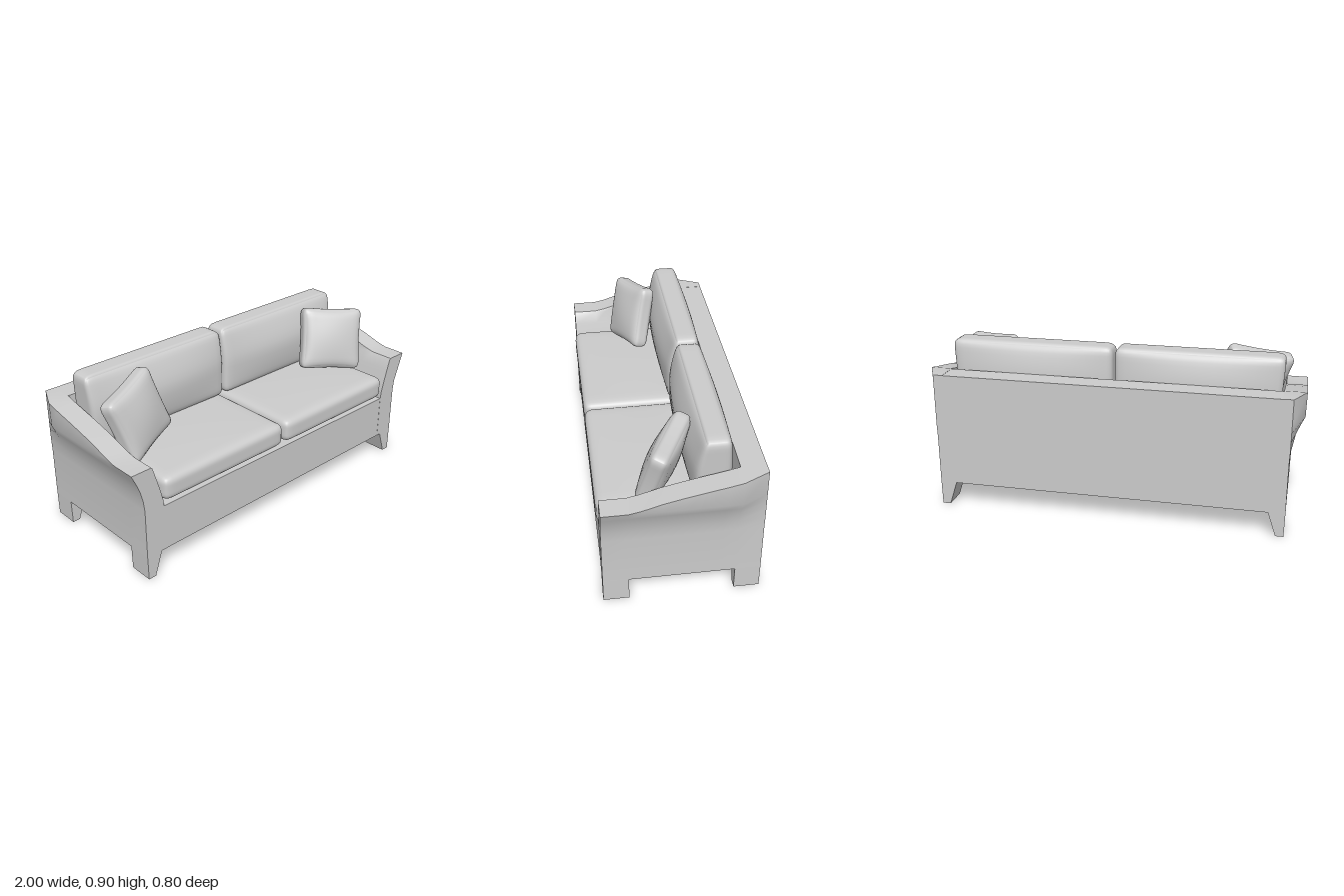
import * as THREE from 'three';
import { mergeVertices, toCreasedNormals } from 'three/addons/utils/BufferGeometryUtils.js';

const material = new THREE.MeshStandardMaterial({ color: 0xcccccc, roughness: 0.85 });

function mesh(name, geometry) {
  const m = new THREE.Mesh(geometry, material);
  m.name = name;
  return m;
}

function box(name, x0, x1, y0, y1, z0, z1) {
  const m = mesh(name, new THREE.BoxGeometry(x1 - x0, y1 - y0, z1 - z0));
  m.position.set((x0 + x1) / 2, (y0 + y1) / 2, (z0 + z1) / 2);
  return m;
}

// Shape from points, mirrored by the side sign
const sideShape = (points, side) => new THREE.Shape(points.map(([x, y]) => new THREE.Vector2(x * side, y)));

// Rounded block whose thickness axis swells to the middle; warp(p, a, b) adds a further rule
function cushion(size, radius, thick, edge, warp) {
  const axes = ['x', 'y', 'z'];
  let g = new THREE.BoxGeometry(2, 2, 2, 18, 18, 18);
  g.deleteAttribute('normal');
  g.deleteAttribute('uv');
  g = mergeVertices(g);
  const pos = g.attributes.position;
  const p = new THREE.Vector3(), inner = new THREE.Vector3(), unit = new THREE.Vector3();
  const [i, j] = axes.filter((a) => a !== thick);
  for (let n = 0; n < pos.count; n++) {
    p.fromBufferAttribute(pos, n);
    axes.forEach((a, k) => {
      const half = size[k] / 2;
      unit[a] = Math.sin(p[a] * Math.PI / 2);
      p[a] = unit[a] * half;
      inner[a] = THREE.MathUtils.clamp(p[a], radius - half, half - radius);
    });
    p.sub(inner).setLength(radius).add(inner);
    p[thick] *= edge + (1 - edge) * (1 - unit[i] ** 2) * (1 - unit[j] ** 2);
    if (warp) warp(p, unit);
    pos.setXYZ(n, p.x, p.y, p.z);
  }
  g.computeVertexNormals();
  return g;
}

// Arm stations from back to front: [z, top height]
const stations = [
  [-0.4, 0.745], [-0.27, 0.745], [-0.2, 0.729], [-0.1, 0.709], [0, 0.688],
  [0.1, 0.664], [0.2, 0.633], [0.26, 0.62], [0.39, 0.62],
];
const armSection = [
  [0.82, 0.13], [0.935, 0.13], [0.935, 0.4], [0.942, 0.46], [0.957, 0.52], [0.977, 0.57], [0.998, 0.615],
  [1, 0.745], [0.885, 0.745], [0.88, 0.615], [0.86, 0.55], [0.84, 0.48], [0.825, 0.42], [0.82, 0.38],
];

// Flared arm: its top follows the stations, its back corner is cut in
function arm(side) {
  const steps = stations.length - 1;
  const g = new THREE.ExtrudeGeometry(sideShape(armSection, side), { depth: 1, steps, bevelEnabled: false });
  const pos = g.attributes.position;
  for (let n = 0; n < pos.count; n++) {
    const [z, top] = stations[Math.round(pos.getZ(n) * steps)];
    if (pos.getY(n) > 0.7) pos.setY(n, top);
    if (z < -0.3) pos.setX(n, side * Math.min(0.937, Math.abs(pos.getX(n))));
    pos.setZ(n, z);
  }
  g.deleteAttribute('uv');
  return toCreasedNormals(g, 0.65);
}

// Leg tapering on its inner side
function leg(side, z) {
  const outline = [[0.89, 0], [0.933, 0], [0.935, 0.135], [0.845, 0.135]];
  const g = new THREE.ExtrudeGeometry(sideShape(outline, side), { depth: 0.13, bevelEnabled: false });
  return g.translate(0, 0, z);
}

// Throw pillow set by its centre and its own right and up directions
function pillow(name, centre, right, up) {
  const pinch = (p, unit) => {
    p.x *= 1 - 0.05 * (1 - unit.y ** 2);
    p.y *= 1 - 0.05 * (1 - unit.x ** 2);
  };
  const m = mesh(name, cushion([0.37, 0.36, 0.15], 0.045, 'z', 0.62, pinch));
  const u = new THREE.Vector3(...right).normalize();
  const w = u.clone().cross(new THREE.Vector3(...up)).normalize();
  const v = w.clone().cross(u);
  m.quaternion.setFromRotationMatrix(new THREE.Matrix4().makeBasis(u, v, w));
  m.position.set(...centre);
  return m;
}

export function createModel() {
  const sofa = new THREE.Group();
  sofa.name = 'sofa';

  // Frame
  sofa.add(box('seatBase', -0.825, 0.825, 0.13, 0.38, -0.3, 0.389));
  sofa.add(box('backPanel', -0.89, 0.89, 0.13, 0.744, -0.4, -0.275));

  for (const side of [1, -1]) {
    const label = side > 0 ? 'left' : 'right';
    sofa.add(mesh(label + 'Arm', arm(side)));
    sofa.add(mesh(label + 'FrontLeg', leg(side, 0.26)));
    sofa.add(mesh(label + 'BackLeg', leg(side, -0.4)));

    // Seat cushion
    const seat = mesh(label + 'SeatCushion', cushion([0.812, 0.15, 0.62], 0.045, 'y', 0.88));
    seat.position.set(side * 0.412, 0.459, 0.09);
    sofa.add(seat);

    // Back cushion, thinner to the top and narrower to the bottom of its outer end
    const lean = (p, unit) => {
      const rise = Math.max(0, unit.y);
      p.z *= 1 - (p.z > 0 ? 0.42 : 0.1) * rise ** 1.5;
      if (p.x * side > 0) p.x *= 1 - 0.05 * (1 - unit.y) / 2;
    };
    const back = mesh(label + 'BackCushion', cushion([0.88, 0.38, 0.23], 0.04, 'z', 0.74, lean));
    back.position.set(side * 0.446, 0.71, -0.157);
    sofa.add(back);
  }

  // Throw pillows
  sofa.add(pillow('leftPillow', [0.715, 0.697, 0.065], [0.315, -0.04, 0.17], [0.087, 0.34, -0.08]));
  sofa.add(pillow('rightPillow', [-0.705, 0.7, 0.055], [0.34, 0.075, -0.13], [-0.09, 0.305, -0.06]));

  return sofa;
}
